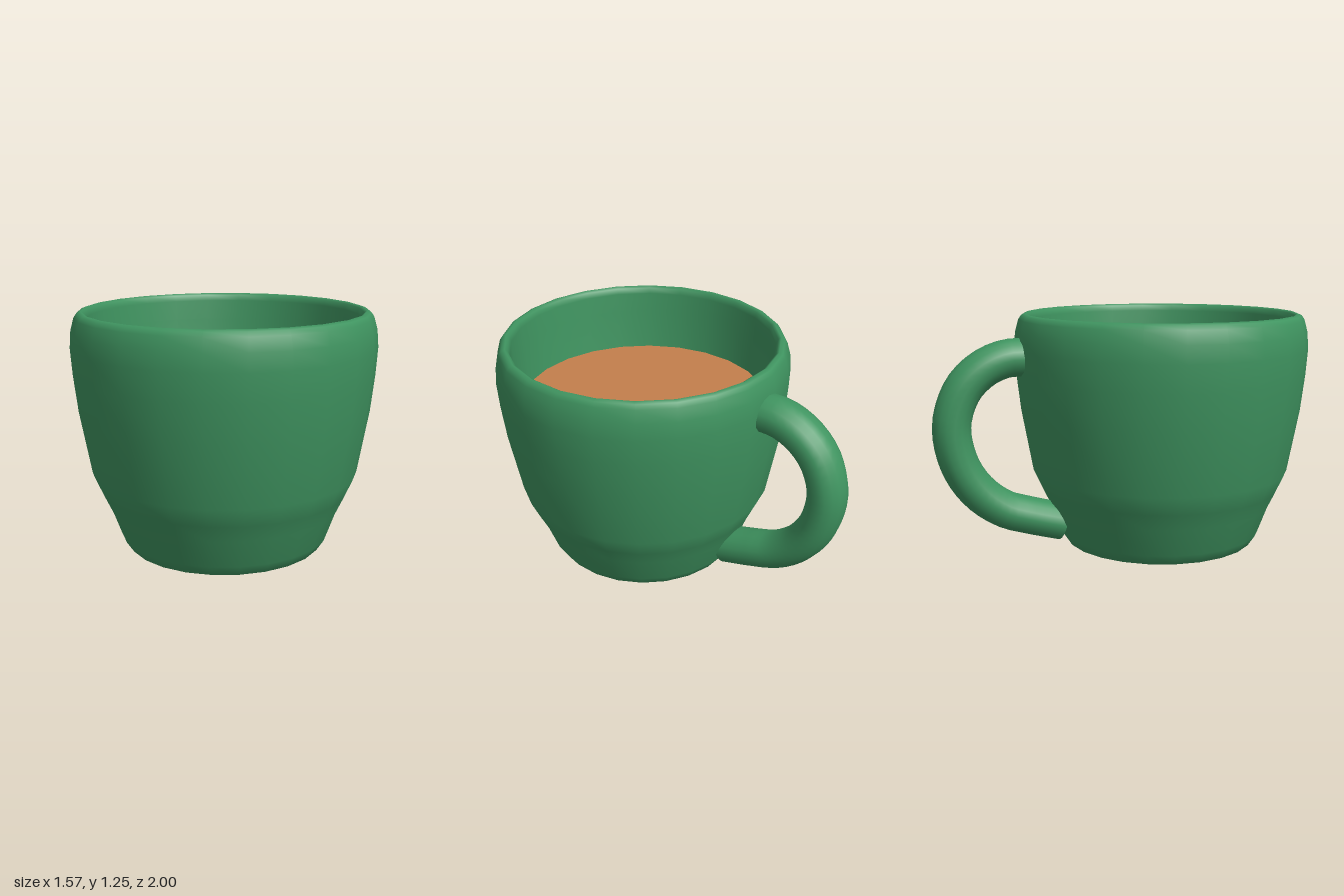
import * as THREE from 'three';

const CUP_Z = 0.21;
const SIDES = 24;
const HANDLE_TILT = 0.195; // sideways turn of the handle around the cup

const material = (color) => new THREE.MeshStandardMaterial({ color, side: THREE.DoubleSide });

function addMesh(parent, name, geometry, mat) {
  const mesh = new THREE.Mesh(geometry, mat);
  mesh.name = name;
  parent.add(mesh);
  return mesh;
}

export function createModel() {
  const model = new THREE.Group();
  model.name = 'cupOfCoffee';
  const green = material(0x3f9460);
  const brown = material(0xc47f4c);

  // Cup body: underside, outer wall, rounded rim, inner wall and floor
  const profile = [
    [0, 0], [0.49, 0], [0.512, 0.004], [0.55, 0.06], [0.605, 0.21], [0.648, 0.3], [0.693, 0.4],
    [0.753, 0.73], [0.775, 0.92], [0.785, 1.06], [0.778, 1.15], [0.76, 1.215],
    [0.745, 1.237], [0.725, 1.245], [0.71, 1.235], [0.7, 1.205], [0.697, 1.1],
    [0.67, 0.86], [0.625, 0.5], [0.56, 0.27], [0.45, 0.12], [0, 0.1],
  ].map(([r, y]) => new THREE.Vector2(r, y));
  const cup = addMesh(model, 'cupBody', new THREE.LatheGeometry(profile, SIDES), green);
  cup.position.z = CUP_Z;

  // Coffee surface, its edge just inside the wall
  const coffeeShape = new THREE.CircleGeometry(0.67, SIDES).rotateX(-Math.PI / 2);
  const coffee = addMesh(model, 'coffee', coffeeShape, brown);
  coffee.position.set(0, 0.88, CUP_Z);

  // Handle: a bent tube drawn as distance from the cup axis against height
  const path = new THREE.CatmullRomCurve3([
    [0.73, 1.03], [0.85, 1.025], [0.97, 0.975], [1.075, 0.87], [1.133, 0.69],
    [1.1, 0.49], [1.01, 0.34], [0.88, 0.235], [0.74, 0.185], [0.56, 0.135],
  ].map(([d, y]) => new THREE.Vector3(d, y, 0)));
  const handleShape = new THREE.TubeGeometry(path, 32, 0.1, 16, false);
  handleShape.scale(1, 1, 1.15);
  const handle = addMesh(model, 'handle', handleShape, green);
  handle.rotation.y = Math.PI / 2 + HANDLE_TILT;
  handle.position.z = CUP_Z;

  return model;
}
